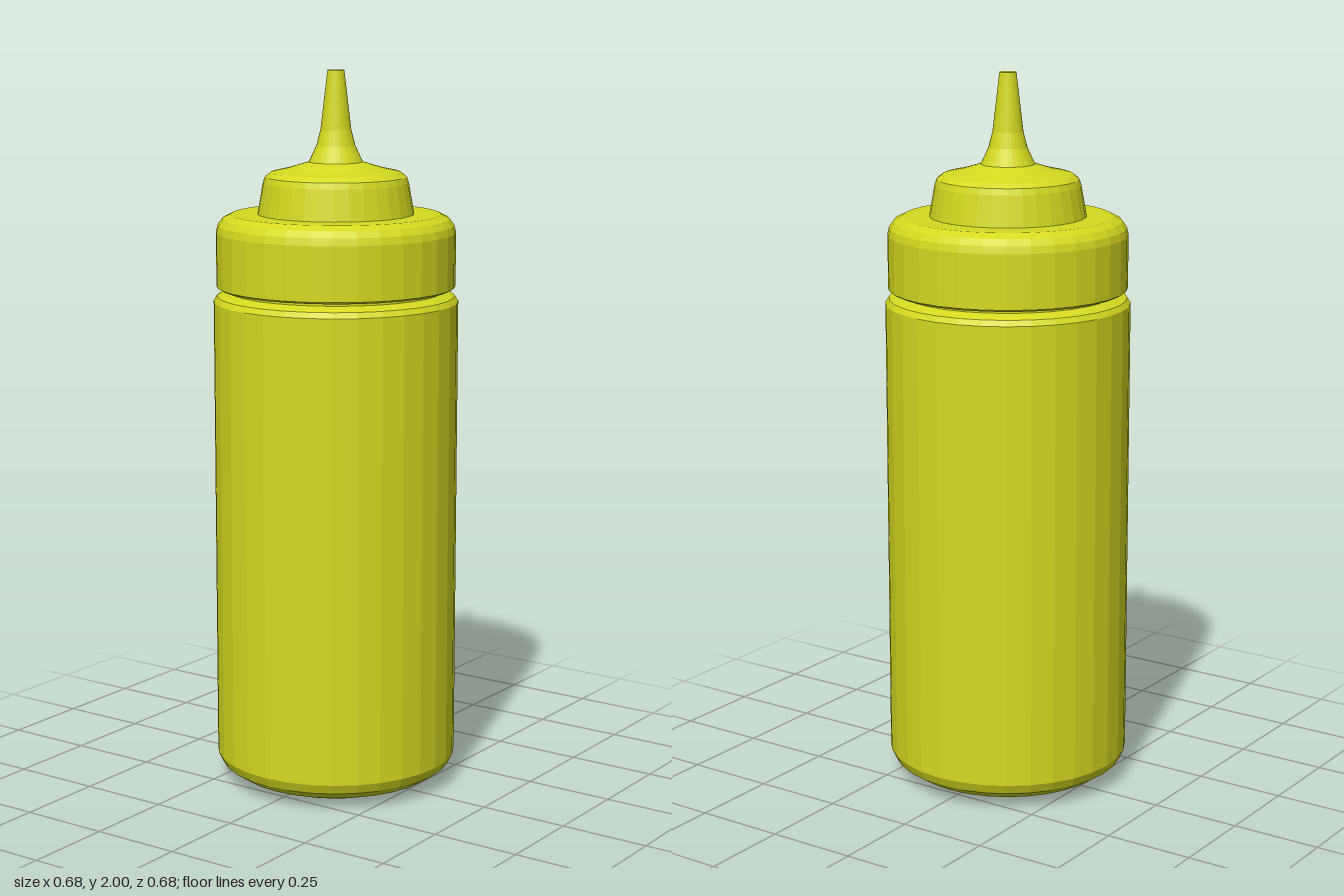
import * as THREE from 'three';

const SIDES = 32;

export function createModel() {
  const model = new THREE.Group();
  model.name = 'squeezeBottle';
  const material = new THREE.MeshStandardMaterial({ color: 0xd4da20, flatShading: true });

  // Turned part from [radius, height] pairs, listed bottom to top
  const turned = (name, profile) => {
    const points = profile.map(([r, y]) => new THREE.Vector2(r, y));
    const mesh = new THREE.Mesh(new THREE.LatheGeometry(points, SIDES), material);
    mesh.name = name;
    model.add(mesh);
  };

  // Body with rounded foot, shoulder and a short neck hidden in the cap
  turned('body', [
    [0, 0], [0.22, 0], [0.285, 0.025], [0.325, 0.052], [0.338, 0.08],
    [0.338, 1.37], [0.328, 1.385], [0.295, 1.397], [0.295, 1.42], [0, 1.42],
  ]);

  // Screw cap with rounded upper rim
  turned('cap', [
    [0, 1.406], [0.32, 1.406], [0.33, 1.412], [0.33, 1.56], [0.325, 1.58],
    [0.312, 1.598], [0.288, 1.61], [0, 1.612],
  ]);

  // Raised collar with shallow domed top
  turned('collar', [
    [0, 1.605], [0.216, 1.605], [0.2, 1.695], [0.194, 1.712], [0.178, 1.724],
    [0.13, 1.735], [0.075, 1.752], [0, 1.752],
  ]);

  // Tapering nozzle with flat tip
  turned('nozzle', [
    [0, 1.75], [0.075, 1.75], [0.053, 1.797], [0.042, 1.84], [0.023, 2], [0, 2],
  ]);

  return model;
}
